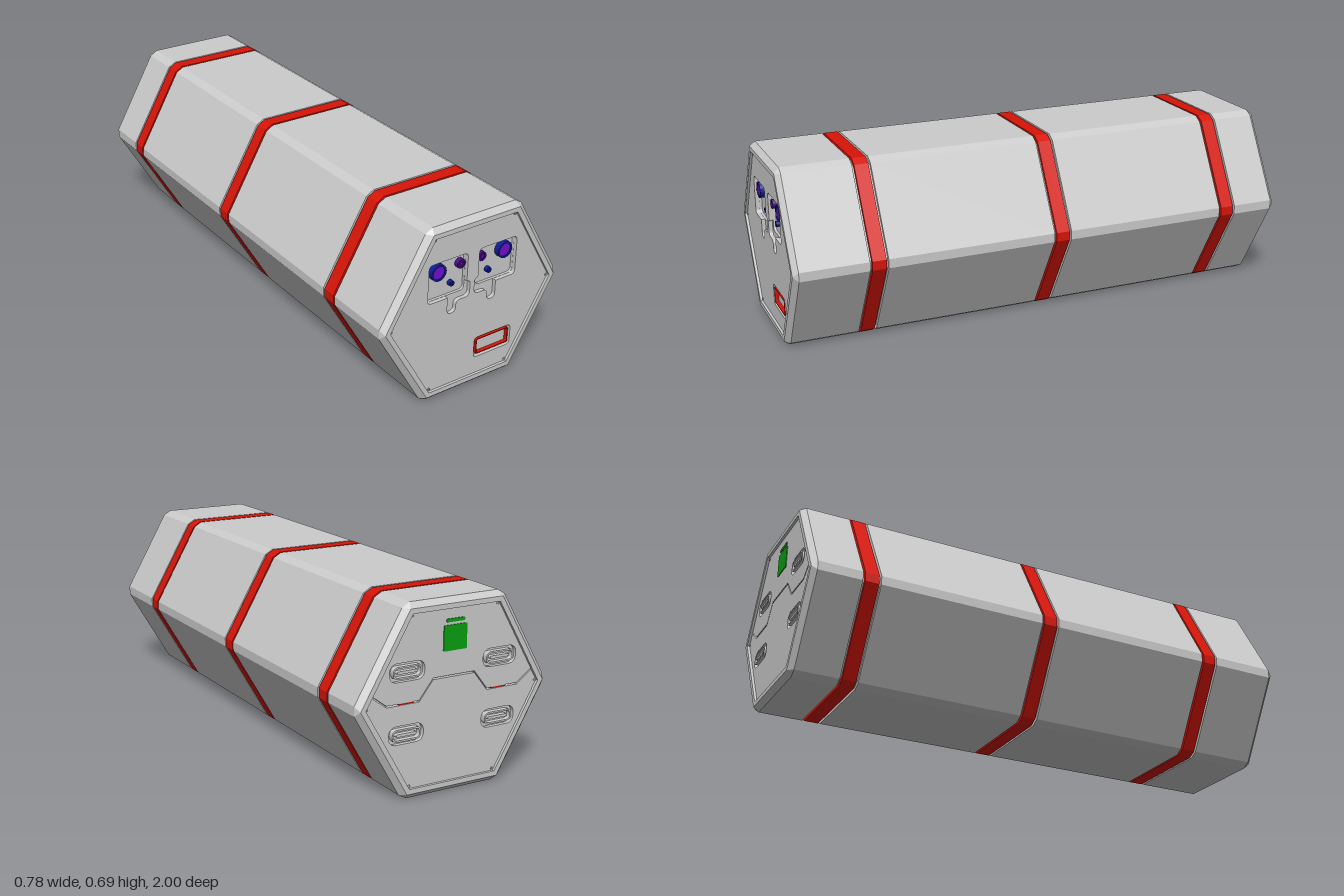
import * as THREE from 'three';

const A = 0.346, MID = 0.346; // hexagon apothem and centre height
const mat = (color) => new THREE.MeshStandardMaterial({ color, flatShading: true });
const grey = mat(0xcccccc), red = mat(0xd81408), blue = mat(0x101c98);
const purple = mat(0x7010d0), violet = mat(0x4a0c90), green = mat(0x0aa010);

// Hexagon with corners on the x axis, each corner cut off by a small flat
function hexPoints(apothem, cut = 0) {
  const pts = [], r = apothem / Math.cos(Math.PI / 6) - cut, t = cut * Math.sqrt(3);
  for (let k = 0; k < 6; k++) {
    const a = k * Math.PI / 3, c = Math.cos(a), s = Math.sin(a);
    for (const side of [-t, t]) pts.push(new THREE.Vector2(r * c - side * s, MID + r * s + side * c));
  }
  return pts;
}

// Skin running through hexagon rings given as [apothem, cut, z]
function loft(rings) {
  const loops = rings.map(([a, cut, z]) => hexPoints(a, cut).map((p) => [p.x, p.y, z]));
  const pos = [];
  for (let i = 0; i + 1 < loops.length; i++) {
    for (let j = 0; j < 12; j++) {
      const k = (j + 1) % 12, a = loops[i][j], b = loops[i][k], c = loops[i + 1][k], d = loops[i + 1][j];
      pos.push(...a, ...b, ...c, ...a, ...c, ...d);
    }
  }
  const g = new THREE.BufferGeometry();
  g.setAttribute('position', new THREE.Float32BufferAttribute(pos, 3));
  g.computeVertexNormals();
  return g;
}

// Closed outline with rounded corners, points given as [x, y, radius]
function rounded(points, Type = THREE.Shape) {
  const s = new Type(), n = points.length;
  points.forEach(([x, y, r], i) => {
    const towards = ([px, py]) => {
      const l = Math.hypot(px - x, py - y);
      return [x + (px - x) * r / l, y + (py - y) * r / l];
    };
    const p = towards(points[(i + n - 1) % n]), q = towards(points[(i + 1) % n]);
    if (i === 0) s.moveTo(...p); else s.lineTo(...p);
    if (r > 0) s.quadraticCurveTo(x, y, ...q);
  });
  s.closePath();
  return s;
}
function rect(cx, cy, w, h, r, Type) {
  const x = w / 2, y = h / 2;
  return rounded([[cx - x, cy - y, r], [cx + x, cy - y, r], [cx + x, cy + y, r], [cx - x, cy + y, r]], Type);
}
function circle(x, y, r, Type = THREE.Shape) {
  const s = new Type();
  s.absarc(x, y, r, 0, Math.PI * 2, false);
  return s;
}

function add(parent, name, geometry, material) {
  const m = new THREE.Mesh(geometry, material);
  m.name = name;
  parent.add(m);
  return m;
}
// Flat plate between two depths, with optional holes
function plate(parent, name, shape, z0, z1, material = grey, holes = []) {
  shape.holes.push(...holes);
  const g = new THREE.ExtrudeGeometry(shape, { depth: z1 - z0, bevelEnabled: false, curveSegments: 8 });
  g.translate(0, 0, z0);
  return add(parent, name, g, material);
}
const panelShape = () => rounded([0, 1, 2, 3, 4, 5].map((k) => {
  const r = 0.308 / Math.cos(Math.PI / 6), a = k * Math.PI / 3;
  return [r * Math.cos(a), MID + r * Math.sin(a), 0];
}));

// Six small screws near the panel corners
function addScrews(parent) {
  for (let k = 0; k < 6; k++) {
    const a = k * Math.PI / 3, x = 0.348 * Math.cos(a), y = MID + 0.346 * Math.sin(a);
    plate(parent, 'screwRing', circle(x, y, 0.0055), 0, 0.003, grey, [circle(x, y, 0.003, THREE.Path)]);
  }
}

// Round lens: outer rim around a lower glass disc
function addLens(parent, x, y, r, inner, rimMaterial, glassMaterial, top) {
  plate(parent, 'lensRim', circle(x, y, r), -0.025, top, rimMaterial, [circle(x, y, inner, THREE.Path)]);
  plate(parent, 'lensGlass', circle(x, y, inner), -0.025, top - 0.004, glassMaterial);
}

function createFront() {
  const g = new THREE.Group();
  g.name = 'frontPanel';
  const pods = [], wells = [];
  for (const s of [-1, 1]) {
    // Sensor well with a stepped tail below it
    const outline = [[0.194, 0.552, 0.018], [0.194, 0.4, 0.018], [0.107, 0.4, 0], [0.107, 0.333, 0.018],
      [0.07, 0.333, 0.018], [0.07, 0.377, 0.02], [0.01, 0.377, 0.02], [0.01, 0.44, 0.014],
      [0.025, 0.44, 0], [0.025, 0.552, 0.018]];
    pods.push(rounded(outline.map(([x, y, r]) => [s * x, y, r]), THREE.Path));
    wells.push(rect(s * 0.1095, 0.476, 0.168, 0.15, 0.018, THREE.Path));
    addLens(g, s * 0.146, 0.508, 0.032, 0.025, blue, purple, -0.004);
    addLens(g, s * 0.046, 0.511, 0.018, 0.012, violet, violet, -0.008);
    plate(g, 'lensCentre', circle(s * 0.046, 0.511, 0.006), -0.025, -0.009, purple);
    addLens(g, s * 0.083, 0.444, 0.011, 0.006, blue, blue, -0.01);
  }
  plate(g, 'frontPlate', panelShape(), -0.015, 0, grey,
    [...pods, rect(0.11, 0.147, 0.168, 0.083, 0.018, THREE.Path)]);
  plate(g, 'frontStep', panelShape(), -0.025, -0.015, grey, wells);
  plate(g, 'frontFloor', panelShape(), -0.035, -0.025);
  plate(g, 'slotFrame', rect(0.11, 0.148, 0.148, 0.063, 0.006), -0.015, 0, red,
    [rect(0.11, 0.148, 0.141, 0.056, 0.004, THREE.Path)]);
  addScrews(g);
  return g;
}

function createBack() {
  const g = new THREE.Group();
  g.name = 'backPanel';
  const sockets = (y) => [-0.19, 0.19].map((x) => rect(x, y, 0.14, 0.066, 0.032, THREE.Path));
  // Upper and lower plates meet along a stepped seam
  const half = [[0.331, 0.39], [0.27, 0.345], [0.14, 0.345], [0.085, 0.415]];
  const seam = [...half, ...half.map(([x, y]) => [-x, y]).reverse()];
  const top = [[-0.178, 0.654], [0.178, 0.654]], gap = 0.003;
  const low = [[-0.355, MID], [-0.178, 0.038], [0.178, 0.038], [0.355, MID]];
  const outline = (pts, dy) => pts.map(([x, y]) => [x, y + dy, 0]);
  plate(g, 'upperBackPlate', rounded([...outline(seam, gap), ...outline(top, 0)]), -0.015, 0, grey, sockets(0.456));
  plate(g, 'lowerBackPlate', rounded([...outline(seam, -gap), ...outline(low, 0)]), -0.015, 0, grey, sockets(0.236));
  plate(g, 'backFloor', panelShape(), -0.03, -0.015);
  for (const x of [-0.19, 0.19]) {
    plate(g, 'seamAccent', rect(x, 0.345, 0.06, 0.005, 0), -0.015, -0.002, red);
    for (const y of [0.236, 0.456]) {
      plate(g, 'socketShell', rect(x, y, 0.116, 0.044, 0.021), -0.015, 0.004, grey,
        [rect(x, y, 0.104, 0.032, 0.015, THREE.Path)]);
      plate(g, 'socketTongue', rect(x, y, 0.08, 0.01, 0.004), -0.015, 0.002);
    }
  }
  plate(g, 'statusScreen', rect(0, 0.55, 0.095, 0.09, 0.003), 0, 0.003, green);
  plate(g, 'statusBar', rect(0, 0.611, 0.075, 0.012, 0.005), 0, 0.003, green);
  addScrews(g);
  return g;
}

export function createModel() {
  const model = new THREE.Group();
  model.name = 'hexagonalModule';
  const bands = [-0.775, -0.048, 0.683], cut = 0.01;

  // Casing: chamfered ends with a rim, and a groove under each band
  const rings = [[0.308, 0, -0.96], [0.308, 0, -1], [0.326, 0, -1], [A, cut, -0.98]];
  for (const z of bands) {
    rings.push([A, cut, z - 0.035], [A - 0.012, cut, z - 0.035], [A - 0.012, cut, z + 0.035], [A, cut, z + 0.035]);
  }
  rings.push([A, cut, 0.98], [0.326, 0, 1], [0.308, 0, 1], [0.308, 0, 0.96]);
  add(model, 'casing', loft(rings), grey);

  // Coloured bands around the casing
  for (const z of bands) {
    add(model, 'band', loft([[A - 0.012, cut, z - 0.027], [A, cut, z - 0.027],
      [A, cut, z + 0.027], [A - 0.012, cut, z + 0.027]]), red);
  }

  const front = createFront(), back = createBack();
  front.position.z = 0.99;
  back.position.z = -0.99;
  back.rotation.y = Math.PI;
  model.add(front, back);
  return model;
}
